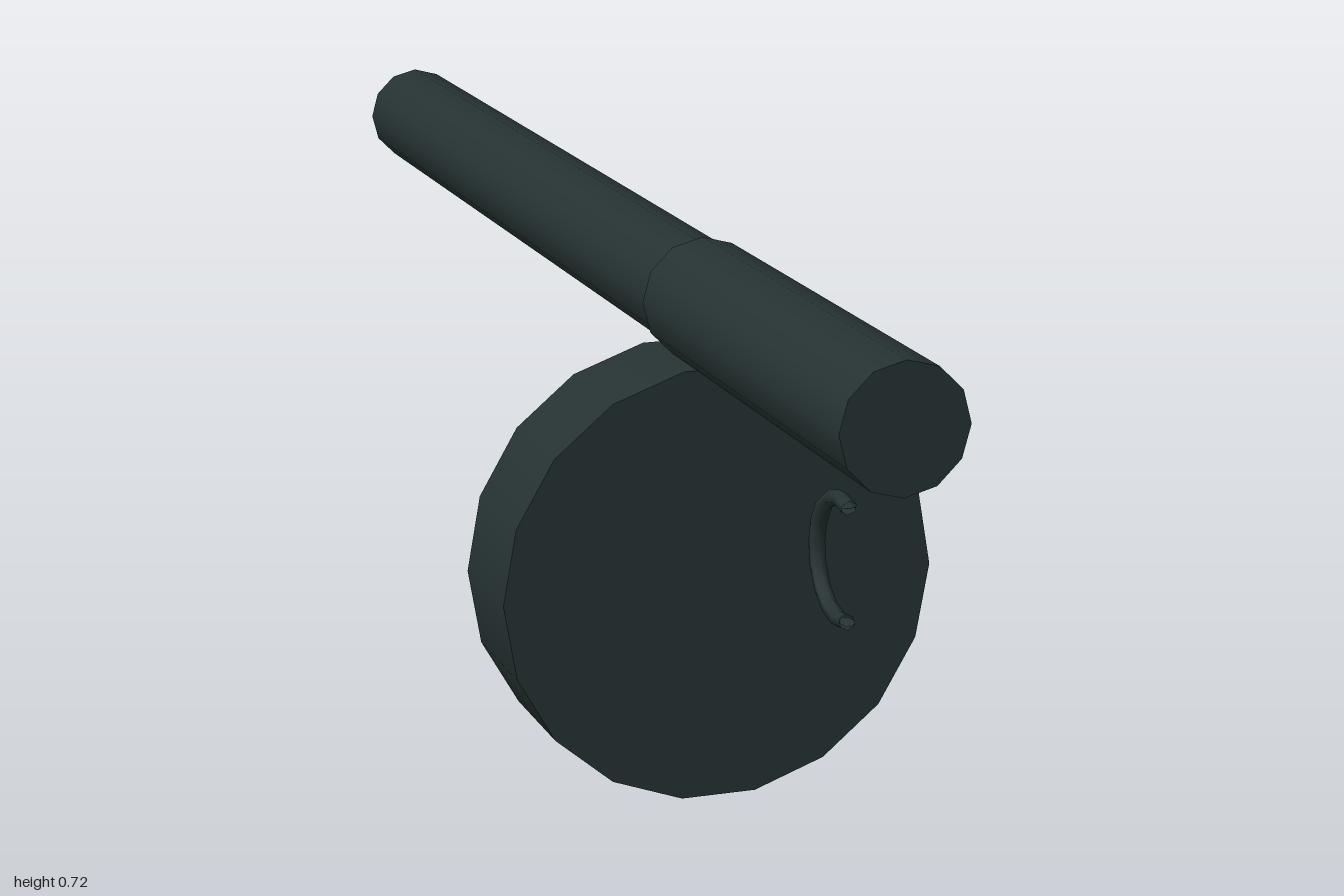
import * as THREE from 'three';

export function createModel() {
  const model = new THREE.Group();
  const gunmetal = new THREE.MeshStandardMaterial({ color: 0x263232, side: THREE.DoubleSide });
  gunmetal.name = 'dark gunmetal';

  const add = (name, geometry, x = 0, y = 0, z = 0) => {
    const mesh = new THREE.Mesh(geometry, gunmetal);
    mesh.name = name;
    mesh.position.set(x, y, z);
    model.add(mesh);
    return mesh;
  };

  // Cylinder lying along z between two depths
  const rod = (name, radius, sides, y, z0, z1, open = false, turn = 0) =>
    add(name, new THREE.CylinderGeometry(radius, radius, z1 - z0, sides, 1, open, turn)
      .rotateX(Math.PI / 2), 0, y, (z0 + z1) / 2);

  const axisY = 0.639;
  const boreRadius = 0.03;

  // Receiver and barrel share one axis
  rod('receiver', 0.079, 12, axisY, 0.34, 1);
  rod('barrel', 0.071, 12, axisY, -1, 0.35, true);

  // Hollow muzzle at the back end
  add('muzzleRim', new THREE.RingGeometry(boreRadius, 0.071, 12).rotateY(Math.PI), 0, axisY, -1);
  rod('bore', boreRadius, 12, axisY, -1, -0.9, true);
  add('boreFloor', new THREE.CircleGeometry(boreRadius, 12).rotateY(Math.PI), 0, axisY, -0.9);

  // Drum magazine, turned so that it has a flat at top and bottom
  rod('drumMagazine', 0.287, 18, 0.283, 0.257, 0.415, false, Math.PI / 18);

  // Trigger: an open hoop in the side plane, with its gap towards +z
  const trigger = new THREE.Group();
  trigger.name = 'trigger';
  trigger.position.set(0, 0.435, 0.815);
  model.add(trigger);
  const hoopRadius = 0.073, tube = 0.01, gap = THREE.MathUtils.degToRad(70);
  const hoop = new THREE.Mesh(
    new THREE.TorusGeometry(hoopRadius, tube, 6, 10, 2 * (Math.PI - gap))
      .rotateZ(gap).rotateY(-Math.PI / 2), gunmetal);
  hoop.name = 'triggerHoop';
  trigger.add(hoop);
  for (const side of [-1, 1]) {
    const cap = new THREE.Mesh(
      new THREE.CircleGeometry(tube, 6).rotateX(side * gap), gunmetal);
    cap.name = 'triggerTip';
    cap.position.set(0, side * hoopRadius * Math.sin(gap), hoopRadius * Math.cos(gap));
    trigger.add(cap);
  }
  // Cap normals follow the hoop's tangent at each tip
  trigger.children.slice(1).forEach((cap, i) => {
    const side = i ? 1 : -1;
    cap.geometry = new THREE.CircleGeometry(tube, 6).rotateX(side * (Math.PI / 2 - (Math.PI / 2 - gap)));
  });

  return model;
}
